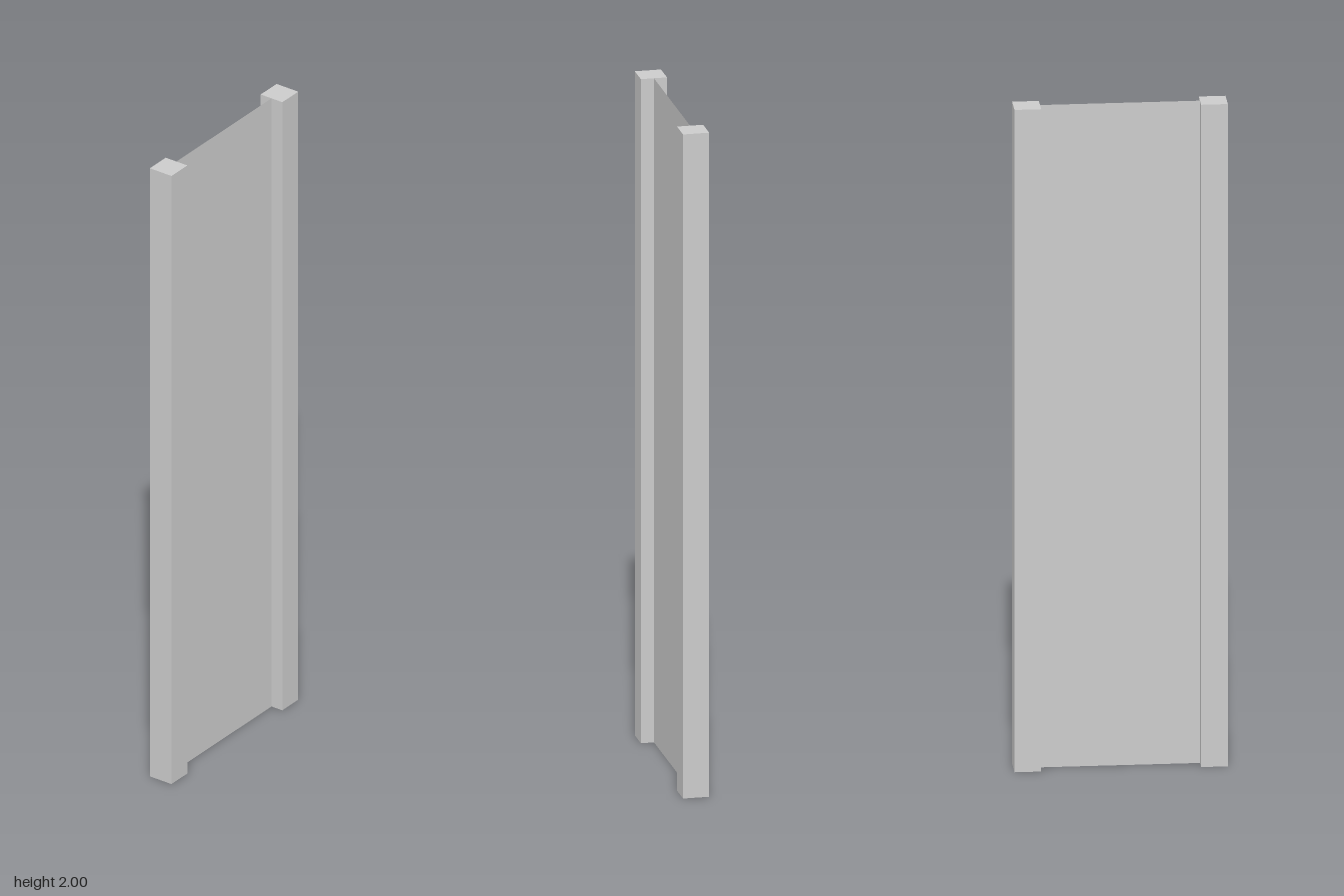
import * as THREE from 'three';

const HEIGHT = 2;
const POST = 0.077; // square post width
const POST_X = 0.269; // post centre

export function createModel() {
  const group = new THREE.Group();
  const material = new THREE.MeshStandardMaterial({ color: 0xcccccc, flatShading: true });
  const sheetMaterial = material.clone();
  sheetMaterial.side = THREE.DoubleSide;

  // Two square posts, mirrored
  const postGeometry = new THREE.BoxGeometry(POST, HEIGHT, POST);
  for (const [name, side] of [['leftPost', 1], ['rightPost', -1]]) {
    const post = new THREE.Mesh(postGeometry, material);
    post.name = name;
    post.position.set(side * POST_X, HEIGHT / 2, 0);
    group.add(post);
  }

  // Thin sheet spanning between the inner post faces
  const panel = new THREE.Mesh(new THREE.PlaneGeometry(2 * POST_X - POST, HEIGHT), sheetMaterial);
  panel.name = 'panel';
  panel.position.y = HEIGHT / 2;
  group.add(panel);

  return group;
}
